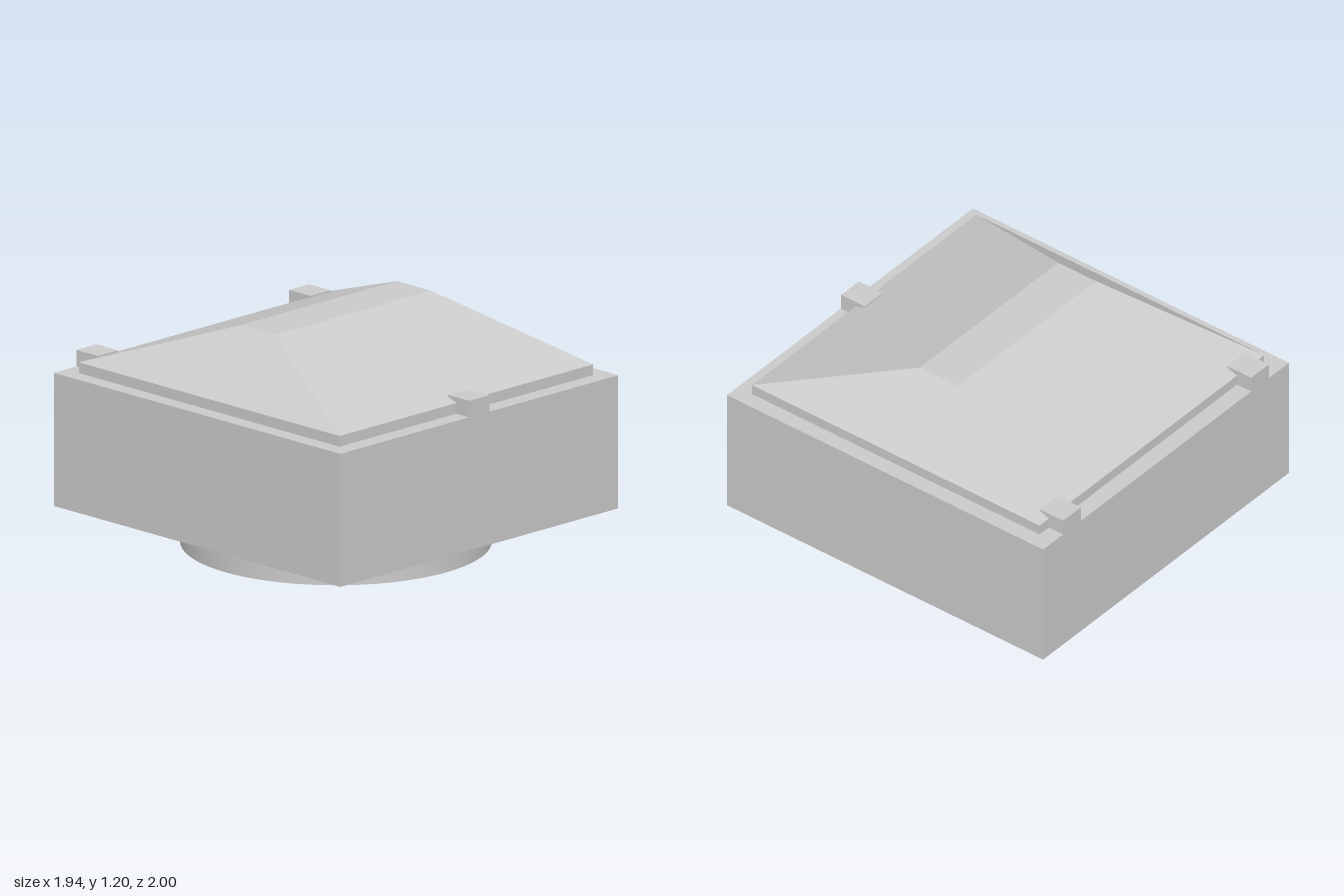
import * as THREE from 'three';
import { toCreasedNormals } from 'three/addons/utils/BufferGeometryUtils.js';
import { ConvexGeometry } from 'three/addons/geometries/ConvexGeometry.js';

const SEGMENTS = 72;
const BODY_BOTTOM = 0.175, BODY_TOP = 0.86;

export function createModel() {
  const model = new THREE.Group();
  const material = new THREE.MeshStandardMaterial({ color: 0xcccccc });
  const add = (name, geometry) => {
    const mesh = new THREE.Mesh(geometry, material);
    mesh.name = name;
    model.add(mesh);
    return mesh;
  };

  // Square body with a round bore
  const outline = new THREE.Shape([[-0.97, -1], [0.97, -1], [0.97, 1], [-0.97, 1]]
    .map(([x, y]) => new THREE.Vector2(x, y)));
  outline.holes.push(new THREE.Path().absarc(0, 0, 0.75, 0, Math.PI * 2, true));
  const body = new THREE.ExtrudeGeometry(outline, {
    depth: BODY_TOP - BODY_BOTTOM, bevelEnabled: false, curveSegments: SEGMENTS,
  });
  body.rotateX(-Math.PI / 2).translate(0, BODY_BOTTOM, 0);
  add('body', toCreasedNormals(body, 0.5));

  // Bore lining, spout rim and stepped collar in one turned profile
  const profile = [
    [0.735, BODY_TOP], [0.735, 0], [0.77, 0], [0.77, 0.147],
    [0.825, 0.147], [0.825, BODY_BOTTOM],
  ].map(([r, y]) => new THREE.Vector2(r, y));
  add('spoutAndCollar', toCreasedNormals(new THREE.LatheGeometry(profile, SEGMENTS), 0.5));

  // Hipped cap: a low upright lip, then four slopes to a narrow flat top
  const capPoints = [];
  for (const [x, y, z] of [[0.885, BODY_TOP, 0.91], [0.885, 0.915, 0.91], [0.545, 1.2, 0.12]]) {
    for (const sx of [-1, 1]) {
      for (const sz of [-1, 1]) capPoints.push(new THREE.Vector3(sx * x, y, sz * z));
    }
  }
  add('hippedCap', new ConvexGeometry(capPoints));

  // Locating tabs: one in front, two at the back
  const tabHeight = 0.085, tabDepth = 0.15;
  for (const [name, x, side] of [['frontTab', 0, 1], ['backLeftTab', 0.742, -1], ['backRightTab', -0.742, -1]]) {
    add(name, new THREE.BoxGeometry(0.14, tabHeight, tabDepth))
      .position.set(x, BODY_TOP + tabHeight / 2, side * (1 - tabDepth / 2));
  }

  return model;
}
